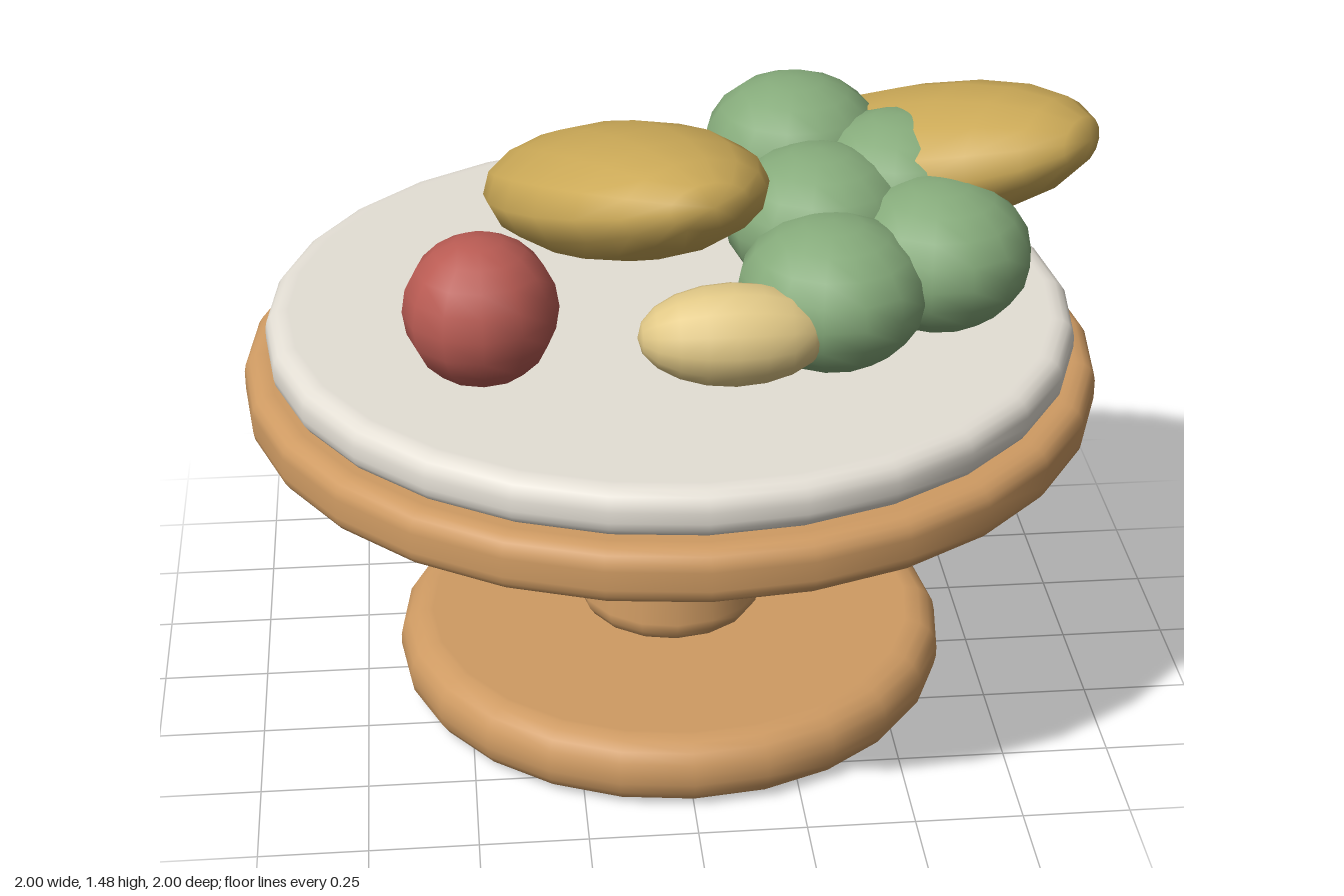
import * as THREE from 'three';

const paint = (color) => new THREE.MeshStandardMaterial({ color });
const wood = paint(0xcf9b63);
const stone = paint(0xe4dfd5);
const gold = paint(0xcba957);
const green = paint(0x86ab7b);
const red = paint(0xb95b53);
const cream = paint(0xe2c987);

function addMesh(group, name, geometry, material, position = [0, 0, 0]) {
  const mesh = new THREE.Mesh(geometry, material);
  mesh.name = name;
  mesh.position.set(...position);
  group.add(mesh);
  return mesh;
}

// Turned solid with rounded rims; an extra ring keeps each cap flat
function turned(y0, y1, r0, r1, round, sides) {
  const points = [new THREE.Vector2(0, y0), new THREE.Vector2(r0 - round - 0.01, y0)];
  const steps = 4;
  for (let i = 0; i <= steps; i++) {
    const a = (i / steps) * Math.PI / 2;
    points.push(new THREE.Vector2(r0 - round + round * Math.sin(a), y0 + round - round * Math.cos(a)));
  }
  for (let i = 0; i <= steps; i++) {
    const a = (i / steps) * Math.PI / 2;
    points.push(new THREE.Vector2(r1 - round + round * Math.cos(a), y1 - round + round * Math.sin(a)));
  }
  points.push(new THREE.Vector2(r1 - round - 0.01, y1), new THREE.Vector2(0, y1));
  return new THREE.LatheGeometry(points, sides);
}

// Ellipsoid whose long axis is z, slightly fuller at the +z end
function pod(width, height, length, taper) {
  const geometry = new THREE.SphereGeometry(1, 14, 10);
  geometry.rotateX(Math.PI / 2);
  const p = geometry.attributes.position;
  for (let i = 0; i < p.count; i++) {
    const z = p.getZ(i);
    const k = 1 + taper * z;
    p.setXYZ(i, p.getX(i) * width * k, p.getY(i) * height * k, z * length);
  }
  // Normals follow the ellipsoid, so the seam stays smooth
  const n = geometry.attributes.normal;
  const v = new THREE.Vector3();
  for (let i = 0; i < n.count; i++) {
    v.fromBufferAttribute(n, i);
    v.set(v.x / width, v.y / height, v.z / length).normalize();
    n.setXYZ(i, v.x, v.y, v.z);
  }
  return geometry;
}

export function createModel() {
  const model = new THREE.Group();
  model.name = 'fruitStand';

  // Stand
  addMesh(model, 'base', turned(0, 0.165, 0.665, 0.665, 0.07, 24), wood);
  addMesh(model, 'column', turned(0.16, 0.765, 0.225, 0.19, 0.065, 16), wood);
  addMesh(model, 'tabletop', turned(0.755, 0.89, 1, 1, 0.045, 28), wood);
  addMesh(model, 'plate', turned(0.885, 1, 0.945, 0.945, 0.045, 28), stone);

  const fruit = new THREE.Group();
  fruit.name = 'fruit';
  model.add(fruit);

  // Two long fruits, leaning up toward the front
  const longFruits = [
    ['longFruitRight', [-0.12, 1.28, 0], 22],
    ['longFruitLeft', [0.56, 1.28, -0.13], 54],
  ];
  for (const [name, position, yaw] of longFruits) {
    const mesh = addMesh(fruit, name, pod(0.285, 0.15, 0.495, 0.1), gold, position);
    mesh.rotation.set(THREE.MathUtils.degToRad(-16.5), THREE.MathUtils.degToRad(yaw), 0, 'YXZ');
  }

  // Cluster of flattened green lobes
  const cluster = new THREE.Group();
  cluster.name = 'greenCluster';
  fruit.add(cluster);
  const lobes = [
    [0.33, 1.17, 0.355],
    [0.585, 1.2, 0.24],
    [0.33, 1.24, 0.12],
    [0.53, 1.27, 0.01],
    [0.305, 1.31, -0.14],
  ];
  for (const position of lobes) {
    const lobe = addMesh(cluster, 'greenLobe', new THREE.SphereGeometry(1, 14, 10), green, position);
    lobe.scale.set(0.215, 0.172, 0.22);
  }

  // Small round and oval fruits
  addMesh(fruit, 'redFruit', new THREE.SphereGeometry(0.173, 12, 10), red, [-0.45, 1.173, 0.385]);
  const oval = addMesh(fruit, 'creamFruit', pod(0.125, 0.113, 0.21, 0), cream, [0.095, 1.145, 0.5]);
  oval.rotation.y = Math.PI / 2;

  return model;
}
